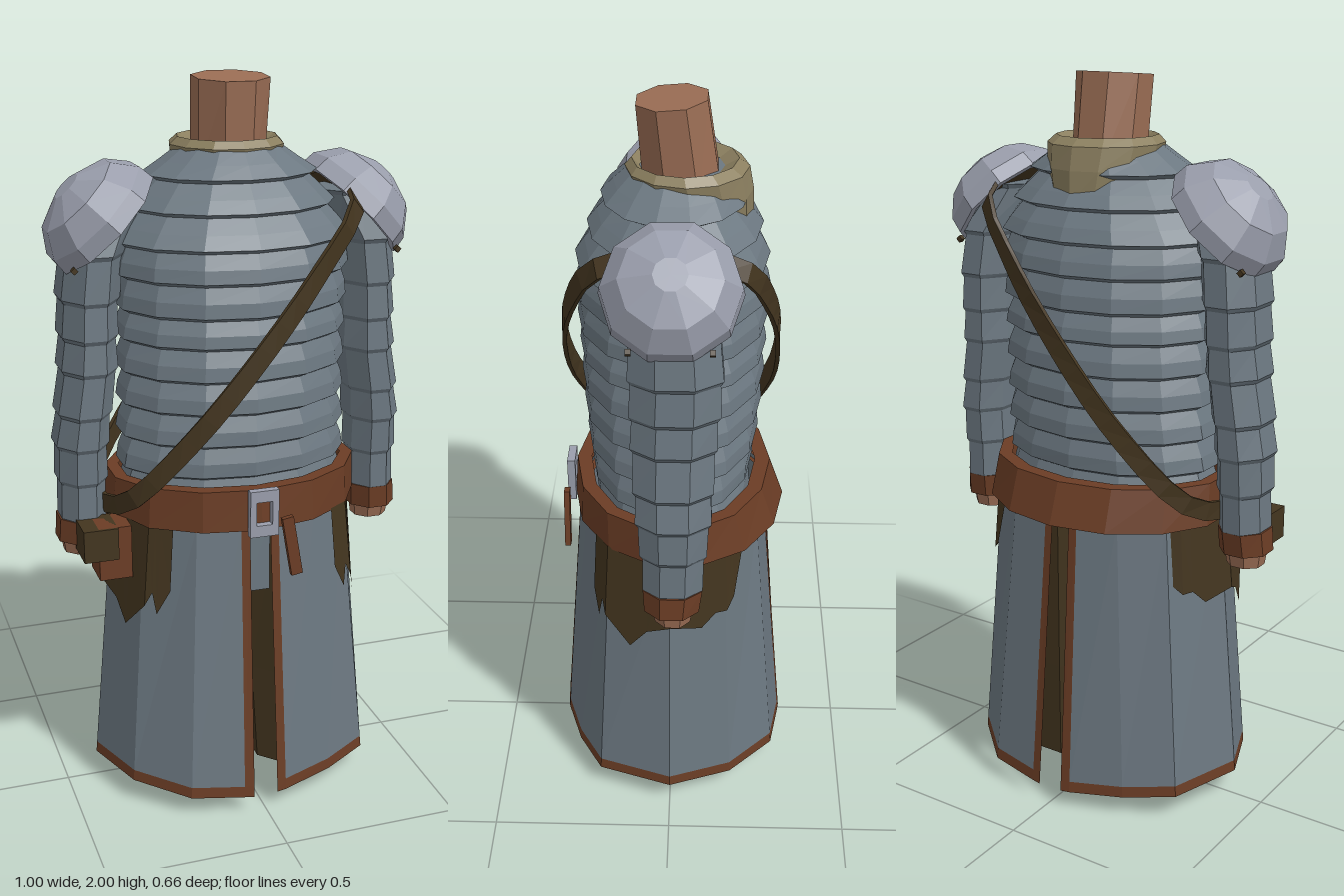
import * as THREE from 'three';

const mat = (name, color) => new THREE.MeshStandardMaterial({ name, color, flatShading: true, side: THREE.DoubleSide });

export function createModel() {
  const model = new THREE.Group();
  model.name = 'armouredBody';
  const steel = mat('dullSteel', 0x6c7881);
  const bright = mat('brightSteel', 0x9a9eac);
  const leather = mat('brownLeather', 0x6b3d25);
  const dark = mat('darkLeather', 0x43351f);
  const skin = mat('skin', 0x9a6d54);
  const linen = mat('linen', 0x8c8060);

  const add = (name, geo, material, parent = model) => {
    const mesh = new THREE.Mesh(geo, material);
    mesh.name = name;
    parent.add(mesh);
    return mesh;
  };
  const box = (name, size, pos, material, rotZ = 0) => {
    const m = add(name, new THREE.BoxGeometry(...size), material);
    m.position.set(...pos);
    m.rotation.z = rotZ;
    return m;
  };

  // Skin a surface over rows of points; rows may be closed rings with end caps
  const loft = (rows, { closed = true, caps = false, loop = false } = {}) => {
    const pos = [];
    const n = rows[0].length;
    const tri = (...p) => p.forEach((v) => pos.push(...v));
    for (let r = 0; r < rows.length - (loop ? 0 : 1); r++) {
      const lo = rows[r], hi = rows[(r + 1) % rows.length];
      for (let i = 0; i < (closed ? n : n - 1); i++) {
        const j = (i + 1) % n;
        tri(lo[i], lo[j], hi[j]);
        tri(lo[i], hi[j], hi[i]);
      }
    }
    if (caps) {
      const a = rows[0], b = rows[rows.length - 1];
      for (let i = 1; i < n - 1; i++) {
        tri(a[0], a[i + 1], a[i]);
        tri(b[0], b[i], b[i + 1]);
      }
    }
    const g = new THREE.BufferGeometry();
    g.setAttribute('position', new THREE.Float32BufferAttribute(pos, 3));
    g.computeVertexNormals();
    return g;
  };

  // Horizontal oval ring: height, half width, front z, back z, centre x
  const ring = (n, y, rx, zf, zb, cx = 0, phase = 0) =>
    Array.from({ length: n }, (_, i) => {
      const a = ((i + phase) / n) * Math.PI * 2;
      return [cx + rx * Math.sin(a), y, (zf + zb) / 2 + ((zf - zb) / 2) * Math.cos(a)];
    });

  // Torso of overlapping steel bands: each flares, then tucks under the next
  const bands = [
    [0.86, 0.32, 0.21, -0.21], [0.96, 0.32, 0.22, -0.215], [1.05, 0.318, 0.23, -0.228],
    [1.14, 0.315, 0.236, -0.235], [1.23, 0.315, 0.24, -0.24], [1.32, 0.315, 0.243, -0.243],
    [1.4, 0.316, 0.247, -0.245], [1.49, 0.32, 0.25, -0.248], [1.575, 0.322, 0.248, -0.245],
    [1.66, 0.28, 0.215, -0.225], [1.74, 0.23, 0.178, -0.188], [1.82, 0.15, 0.13, -0.15],
  ];
  const torsoRows = [];
  bands.forEach(([y, rx, zf, zb], i) => {
    torsoRows.push(ring(14, y, rx - 0.016, zf - 0.018, zb + 0.018));
    if (i < bands.length - 1) {
      torsoRows.push(ring(14, y + 0.012, rx + 0.006, zf + 0.006, zb - 0.006));
      const k = 0.55, q = bands[i + 1];
      const mix = (c) => bands[i][c] * (1 - k) + q[c] * k;
      torsoRows.push(ring(14, y + (q[0] - y) * k, mix(1), mix(2), mix(3)));
    }
  });
  add('bandedTorso', loft(torsoRows, { caps: true }), steel);

  // Linen collar, lower at the back, and the neck
  add('collar', loft([
    ring(12, 1.68, 0.12, 0.08, -0.205), ring(12, 1.76, 0.145, 0.1, -0.203),
    ring(12, 1.82, 0.155, 0.122, -0.192), ring(12, 1.84, 0.135, 0.105, -0.165),
    ring(12, 1.82, 0.1, 0.085, -0.13),
  ]), linen);
  const neckTop = ring(8, 2, 0.105, 0.098, -0.092, 0, 0.5);
  neckTop.forEach((p) => { p[1] = 1.993 - p[2] * 0.08; });
  add('neck', loft([ring(8, 1.76, 0.098, 0.08, -0.13, 0, 0.5), neckTop], { caps: true }), skin);

  // Belt, buckle and hanging strap end
  add('belt', loft([
    ring(14, 0.835, 0.335, 0.25, -0.26), ring(14, 0.835, 0.362, 0.278, -0.312),
    ring(14, 0.948, 0.355, 0.27, -0.272), ring(14, 0.948, 0.32, 0.23, -0.23),
  ]), leather);
  for (const s of [-1, 1]) {
    box('buckleSide', [0.018, 0.13, 0.022], [s * 0.031, 0.89, 0.286], bright);
    box('buckleBar', [0.08, 0.032, 0.022], [0, 0.89 + s * 0.049, 0.286], bright);
  }
  box('beltTail', [0.032, 0.17, 0.016], [0.077, 0.79, 0.298], leather, 0.17);
  box('frontTab', [0.066, 0.2, 0.02], [0, 0.745, 0.235], steel);

  // Split skirt: outline at hem and waist for one half, turned round for the other
  const hem = [[0.035, 0.326], [0.062, 0.322], [0.21, 0.275], [0.34, 0.205], [0.413, 0],
    [0.345, -0.175], [0.21, -0.3], [0.062, -0.326], [0.035, -0.33]];
  const waist = [[0.028, 0.262], [0.052, 0.26], [0.165, 0.235], [0.275, 0.165], [0.345, 0],
    [0.29, -0.145], [0.17, -0.235], [0.052, -0.256], [0.028, -0.258]];
  const lerp = (a, b, t) => a + (b - a) * t;
  const skirtPoint = (s, t, grow = 1) => {
    const i = Math.min(Math.floor(s), hem.length - 2), f = s - i;
    const at = (o, c) => lerp(o[i][c], o[i + 1][c], f);
    const x = lerp(at(hem, 0), at(waist, 0), t), z = lerp(at(hem, 1), at(waist, 1), t);
    const y0 = 0.045 + 0.085 * at(hem, 0) ** 1.2;
    return [x * grow, lerp(y0, 0.85, t), z * grow];
  };
  const panel = (from, to, t0, t1) => loft([t0, t1].map((t) =>
    Array.from({ length: to - from + 1 }, (_, i) => skirtPoint(from + i, t))), { closed: false });
  // Ragged hip cloth: position along the half outline and lower edge height
  const rags = [[2.5, 0.67], [2.75, 0.6], [2.86, 0.66], [3, 0.62], [3.4, 0.54], [3.65, 0.6],
    [4, 0.63], [4.55, 0.61], [4.8, 0.65], [5, 0.65], [5.2, 0.68], [5.45, 0.8]];
  for (const side of [0, 1]) {
    const half = new THREE.Group();
    half.name = side ? 'rightSkirt' : 'leftSkirt';
    half.rotation.y = side * Math.PI;
    model.add(half);
    add('skirtPanel', panel(1, 7, 0.04, 1), steel, half);
    add('hemTrim', panel(0, 8, 0, 0.04), leather, half);
    add('frontEdgeTrim', panel(0, 1, 0.04, 1), leather, half);
    add('backEdgeTrim', panel(7, 8, 0.04, 1), leather, half);
  }
  for (const side of [-1, 1]) {
    const flip = side < 0;
    const rows = [(y) => (y - 0.07) / 0.78, () => 0.99].map((f) => rags.map(([s, y]) => {
      const p = skirtPoint(s, f(y), 1.025);
      return flip ? [-p[0] * 1.02, p[1], p[2] + 0.012] : p;
    }));
    add('hipCloth', loft(rows, { closed: false }), dark);
  }

  for (const s of [-1, 1]) {
    // Legs
    add('leg', loft([ring(8, 0, 0.114, 0.13, -0.105, s * 0.173, 0.5),
      ring(8, 0.3, 0.122, 0.13, -0.125, s * 0.163, 0.5),
      ring(8, 0.84, 0.145, 0.15, -0.15, s * 0.155, 0.5)], { caps: true }), dark);

    // Sleeves with narrow ridges: height, centre x, half width, front z, back z
    const arm = [[0.82, 0.428, 0.062, 0.07, -0.09], [0.93, 0.426, 0.068, 0.077, -0.1],
      [1.03, 0.425, 0.073, 0.088, -0.112], [1.12, 0.416, 0.074, 0.095, -0.117],
      [1.24, 0.4, 0.078, 0.1, -0.125], [1.33, 0.396, 0.077, 0.103, -0.132],
      [1.43, 0.392, 0.08, 0.105, -0.138], [1.55, 0.38, 0.085, 0.108, -0.135],
      [1.68, 0.32, 0.075, 0.08, -0.09]];
    const rows = [];
    arm.forEach(([y, cx, rx, zf, zb]) => {
      rows.push(ring(8, y, rx - 0.003, zf - 0.003, zb + 0.003, s * cx, 0.5));
      rows.push(ring(8, y + 0.012, rx + 0.005, zf + 0.005, zb - 0.005, s * cx, 0.5));
    });
    add('sleeve', loft(rows, { caps: true }), steel);
    add('cuff', loft([ring(8, 0.765, 0.072, 0.07, -0.085, s * 0.432, 0.5),
      ring(8, 0.83, 0.071, 0.074, -0.094, s * 0.428, 0.5)], { caps: true }), leather);
    add('wrist', loft([ring(8, 0.725, 0.052, 0.04, -0.06, s * 0.432, 0.5),
      ring(8, 0.78, 0.06, 0.052, -0.07, s * 0.432, 0.5)], { caps: true }), skin);

    // Domed shoulder plate with rim studs
    const shoulder = new THREE.Group();
    shoulder.name = 'shoulderPlate';
    shoulder.position.set(s * 0.34, 1.632, -0.005);
    shoulder.rotation.z = -s * Math.PI / 4;
    model.add(shoulder);
    const profile = [[0.155, 0], [0.175, 0], [0.17, 0.045], [0.125, 0.105], [0.042, 0.14], [0, 0.14]]
      .map((p) => new THREE.Vector2(...p));
    add('dome', new THREE.LatheGeometry(profile, 10), bright, shoulder);
    for (const z of [-0.1, 0.1]) {
      const stud = add('stud', new THREE.BoxGeometry(0.014, 0.014, 0.014), dark, shoulder);
      stud.position.set(s * 0.146, 0.004, z);
    }
  }

  // Diagonal strap round the body, from left shoulder to right hip
  const path = new THREE.CatmullRomCurve3([
    [0.29, 1.67, 0.175], [0.16, 1.52, 0.255], [0, 1.33, 0.29], [-0.18, 1.11, 0.267],
    [-0.335, 0.92, 0.17], [-0.375, 0.87, 0], [-0.335, 0.92, -0.17], [-0.18, 1.11, -0.262],
    [0, 1.33, -0.28], [0.16, 1.52, -0.25], [0.29, 1.67, -0.175], [0.3, 1.715, 0],
  ].map((p) => new THREE.Vector3(...p)), true);
  const strapRows = Array.from({ length: 36 }, (_, i) => {
    const p = path.getPointAt(i / 36), t = path.getTangentAt(i / 36);
    const out = new THREE.Vector3(p.x / 0.12, Math.max(0, p.y - 1.6) * 20, p.z / 0.07).normalize();
    const across = t.clone().cross(out).normalize();
    return [[-1, -1], [1, -1], [1, 1], [-1, 1]].map(([a, b]) =>
      p.clone().addScaledVector(across, a * 0.026).addScaledVector(out, b * 0.006).toArray());
  });
  add('shoulderStrap', loft(strapRows, { loop: true }), dark);

  // Pouch on the right hip
  box('pouch', [0.09, 0.15, 0.1], [-0.372, 0.765, 0.1], leather);
  box('pouchFlap', [0.095, 0.09, 0.112], [-0.412, 0.795, 0.102], dark);

  return model;
}
